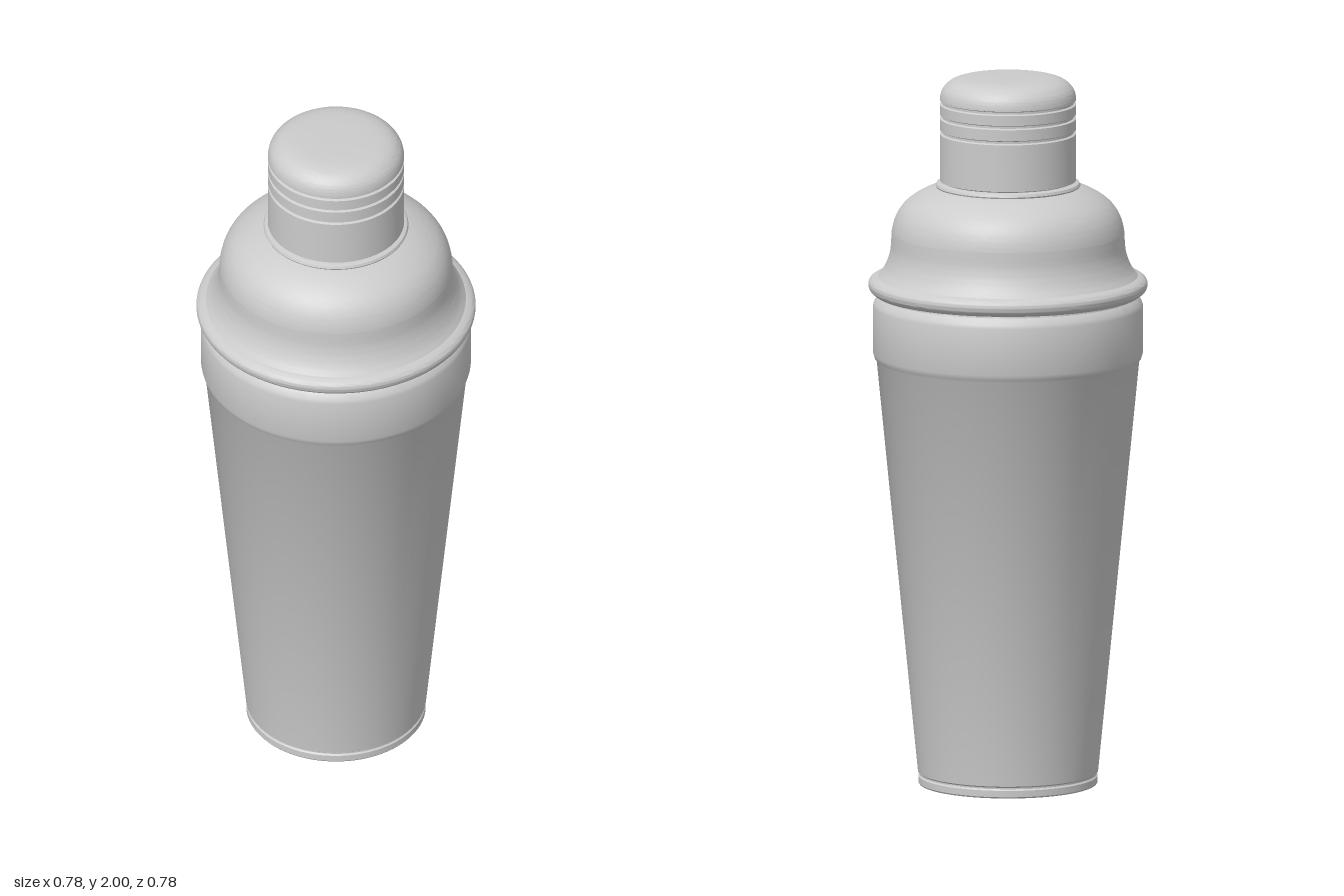
import * as THREE from 'three';
import { toCreasedNormals } from 'three/addons/utils/BufferGeometryUtils.js';

const SEGMENTS = 96;
const material = new THREE.MeshStandardMaterial({ color: 0xcccccc, side: THREE.DoubleSide });

// Turn a profile (bottom to top) around y, keeping hard edges sharp
function turned(name, points) {
  const lathe = new THREE.LatheGeometry(points, SEGMENTS);
  const mesh = new THREE.Mesh(toCreasedNormals(lathe, 0.6), material);
  mesh.name = name;
  return mesh;
}

const profile = (pairs) => pairs.map(([r, y]) => new THREE.Vector2(r, y));
const smooth = (pairs, n) => new THREE.SplineCurve(profile(pairs)).getPoints(n);

export function createModel() {
  const model = new THREE.Group();
  model.name = 'cocktailShaker';

  // Tapered cup with a foot ring and a raised collar band
  model.add(turned('cup', profile([
    [0, 0], [0.247, 0], [0.25, 0.004], [0.25, 0.022], [0.246, 0.026], [0.246, 0.03],
    [0.251, 0.034], [0.366, 1.198], [0.372, 1.206], [0.376, 1.22],
    [0.376, 1.352], [0.373, 1.362], [0.364, 1.374], [0.358, 1.38], [0.355, 1.4],
  ])));

  // Lid: rounded rim, flared skirt and domed shoulder
  model.add(turned('lid', [
    ...profile([[0.35, 1.386], [0.366, 1.386]]),
    ...smooth([[0.372, 1.387], [0.384, 1.397], [0.389, 1.41], [0.386, 1.424], [0.374, 1.433]], 14),
    ...smooth([[0.362, 1.436], [0.347, 1.456], [0.334, 1.485], [0.327, 1.515], [0.325, 1.545],
      [0.323, 1.568], [0.313, 1.603], [0.292, 1.636], [0.26, 1.662], [0.225, 1.68], [0.2, 1.689]], 44),
    ...profile([[0.18, 1.692]]),
  ]));

  // Thin bead where the neck meets the shoulder
  model.add(turned('neckBead', profile([
    [0.18, 1.684], [0.199, 1.687], [0.202, 1.693], [0.199, 1.7], [0.192, 1.703], [0.18, 1.703],
  ])));

  // Cap: straight wall with three fine grooves and a rounded top
  const wall = [[0.18, 1.704], [0.19, 1.707]];
  for (const y of [1.845, 1.888, 1.928]) {
    wall.push([0.19, y - 0.006], [0.183, y - 0.003], [0.183, y + 0.003], [0.19, y + 0.006]);
  }
  const dome = smooth([[0.19, 1.938], [0.186, 1.957], [0.175, 1.974], [0.156, 1.988],
    [0.128, 1.996], [0.09, 1.999], [0.045, 2], [0, 2]], 28);
  model.add(turned('cap', [...profile(wall), ...dome]));

  return model;
}
